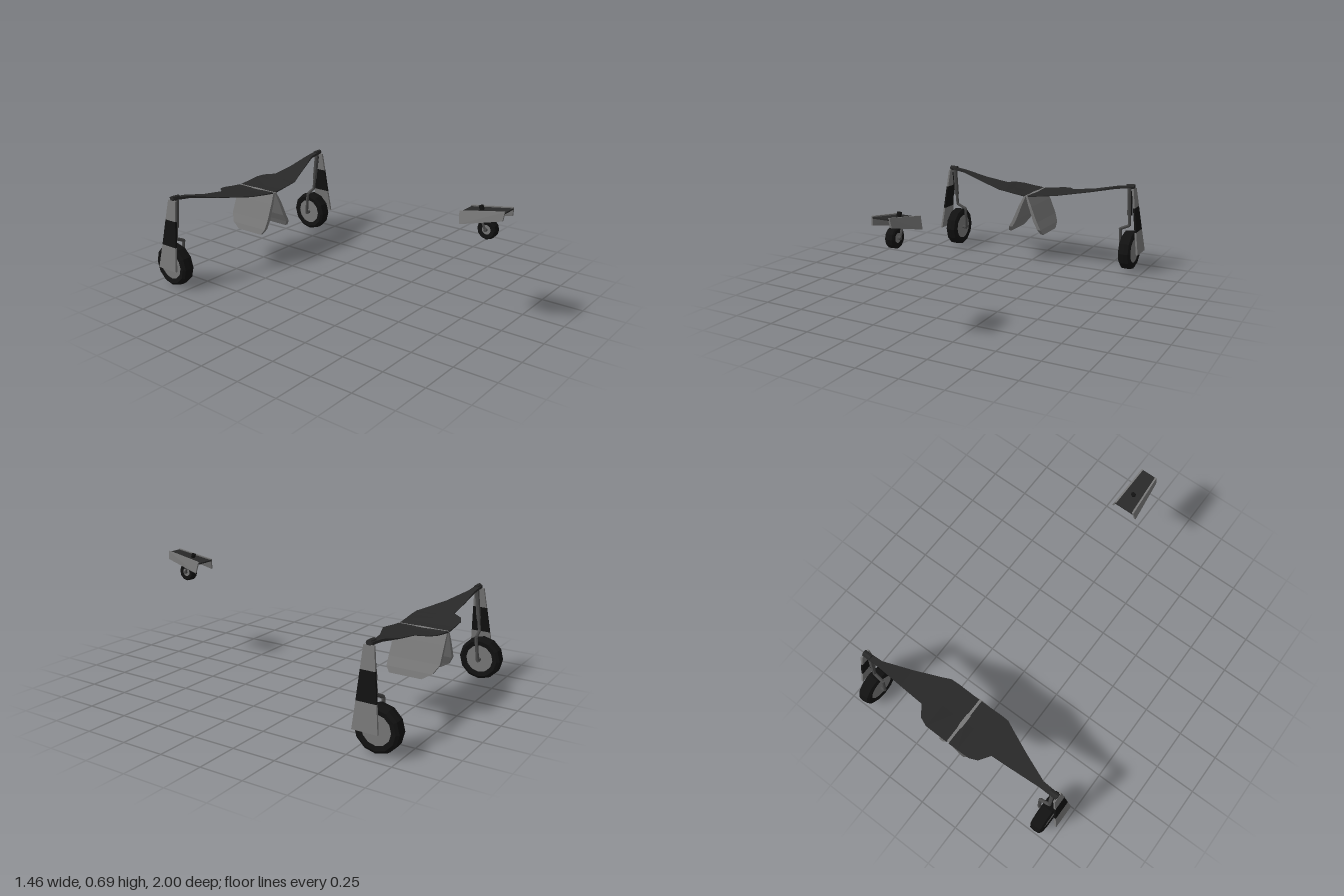
import * as THREE from 'three';

const paint = (color) => new THREE.MeshStandardMaterial({ color, flatShading: true });
const V = (x, y, z) => new THREE.Vector3(x, y, z);

// Closed solid through equal-length rings of [x, y, z]; winding is corrected by signed volume.
function loft(rings) {
  const n = rings[0].length, tris = [];
  const quad = (a, b, c, d) => tris.push([a, b, c], [a, c, d]);
  for (let i = 0; i + 1 < rings.length; i++) {
    for (let j = 0; j < n; j++) {
      const k = (j + 1) % n;
      quad(rings[i][j], rings[i][k], rings[i + 1][k], rings[i + 1][j]);
    }
  }
  // End caps are strips, so a bent ring is closed correctly
  [rings[0], rings[rings.length - 1]].forEach((r, end) => {
    for (let j = 0; j < n / 2 - 1; j++) {
      const q = [r[j], r[j + 1], r[n - 2 - j], r[n - 1 - j]];
      quad(...(end ? q : q.reverse()));
    }
  });
  const volume = tris.reduce((s, [a, b, c]) => s + V(...a).dot(V(...b).cross(V(...c))), 0);
  if (volume < 0) tris.forEach((t) => t.reverse());
  const geo = new THREE.BufferGeometry();
  geo.setAttribute('position', new THREE.Float32BufferAttribute(tris.flat(2), 3));
  geo.computeVertexNormals();
  return geo;
}

// Panel from stations [x, y, zFront, zRear, sag, thickness]; thickness runs along x or y.
function panel(side, alongX, stations) {
  return loft(stations.map(([x, y, zf, zr, sag = 0, t = 0.012]) => {
    const line = [[zf, 0], [(zf + zr) / 2, sag], [zr, 0]];
    const skin = (o) => line.map(([z, s]) => alongX
      ? [side * (x + s + o), y, z]
      : [side * x, y - s + o, z]);
    return [...skin(t / 2), ...skin(-t / 2).reverse()];
  }));
}

// Round bar between two points
function rod(a, b, r, sides = 8) {
  const d = V(...b).sub(V(...a));
  const geo = new THREE.CylinderGeometry(r, r, d.length(), sides);
  geo.applyQuaternion(new THREE.Quaternion().setFromUnitVectors(V(0, 1, 0), d.clone().normalize()));
  return geo.translate(...V(...a).addScaledVector(d, 0.5).toArray());
}

export function createModel() {
  const root = new THREE.Group();
  const grey = paint(0x777777), dark = paint(0x282828), black = paint(0x111111), steel = paint(0x4a4a4a);
  const add = (parent, name, geo, mat) => {
    const m = new THREE.Mesh(geo, mat);
    m.name = name;
    parent.add(m);
    return m;
  };

  // Bevelled tyre with a flat hub disc, axle along x
  function wheel(name, r, w, hubR, x, y, z) {
    const g = new THREE.Group();
    g.name = name;
    const h = w / 2;
    const profile = [[hubR, -h * 0.85], [r * 0.85, -h], [r * 0.97, -h * 0.75], [r, 0],
      [r * 0.97, h * 0.75], [r * 0.85, h], [hubR, h * 0.85]].map((p) => new THREE.Vector2(...p));
    add(g, 'tyre', new THREE.LatheGeometry(profile, 12).rotateZ(-Math.PI / 2), black);
    add(g, 'hub', new THREE.CylinderGeometry(hubR, hubR, w * 0.85, 12).rotateZ(Math.PI / 2), grey);
    g.position.set(x, y, z);
    root.add(g);
  }

  for (const s of [1, -1]) {
    const label = s > 0 ? 'left' : 'right';

    // Swept underside wing panel, sagging near the centre
    add(root, label + 'WingPanel', panel(s, false, [
      [0.008, 0.464, -0.635, -0.93, 0.003, 0.008],
      [0.07, 0.471, -0.635, -0.93, 0.006, 0.006],
      [0.15, 0.482, -0.635, -0.93, 0.003, 0.004],
      [0.2, 0.488, -0.638, -0.91, 0, 0.004],
      [0.245, 0.494, -0.66, -0.848, 0, 0.004],
      [0.4, 0.516, -0.73, -0.842, 0, 0.005],
      [0.56, 0.548, -0.797, -0.835, 0, 0.014],
      [0.67, 0.561, -0.805, -0.838, 0, 0.016],
    ]), dark);

    // Inner bay door, hanging outward with a slight bend
    add(root, label + 'InnerDoor', panel(s, true, [
      [0.006, 0.466, -0.63, -0.925, 0, 0.012],
      [0.035, 0.4, -0.622, -0.926, 0, 0.02],
      [0.075, 0.3, -0.62, -0.925, 0, 0.025],
      [0.102, 0.25, -0.622, -0.895, 0, 0.024],
      [0.116, 0.216, -0.645, -0.84, 0, 0.02],
    ]), grey);

    // Leg door in three bands
    const cuts = [[0.668, 0.55, -0.79, -0.85], [0.684, 0.43, -0.783, -0.867],
      [0.704, 0.275, -0.774, -0.889], [0.724, 0.13, -0.765, -0.91]];
    ['Upper', 'Middle', 'Lower'].forEach((part, i) => {
      add(root, label + 'LegDoor' + part, panel(s, true, cuts.slice(i, i + 2)), i === 1 ? black : grey);
    });

    // Main leg: sleeve, piston, offset crank and axle
    const leg = [[0.638, 0.555, -0.815], [0.638, 0.37, -0.838], [0.638, 0.297, -0.848],
      [0.577, 0.268, -0.853], [0.58, 0.125, -0.87], [0.64, 0.13, -0.87]]
      .map(([x, y, z]) => [s * x, y, z]);
    [['Sleeve', 0.014], ['Piston', 0.01], ['Crank', 0.01], ['Fork', 0.01], ['Axle', 0.012]]
      .forEach(([part, r], i) => add(root, label + 'Leg' + part, rod(leg[i], leg[i + 1], r), steel));
    add(root, label + 'LegPivot', rod([s * 0.62, 0.56, -0.818], [s * 0.672, 0.562, -0.818], 0.016), dark);
    add(root, label + 'LegBrace', rod([s * 0.655, 0.53, -0.818], [s * 0.652, 0.37, -0.84], 0.006), black);
    wheel(label + 'MainWheel', 0.13, 0.08, 0.083, s * 0.64, 0.13, -0.87);

    // Small wheel door, splayed outward and flaring to the rear
    add(root, label + 'SmallDoor', loft([
      [[0.042, 0.69, 1], [0.052, 0.69, 1], [0.06, 0.64, 0.995], [0.05, 0.64, 0.995]],
      [[0.055, 0.648, 0.745], [0.066, 0.648, 0.745], [0.083, 0.58, 0.755], [0.073, 0.58, 0.755]],
    ].map((r) => r.map(([x, y, z]) => [s * x, y, z]))), grey);

    // Small wheel fork arm
    add(root, label + 'ForkArm', rod([s * 0.032, 0.555, 0.885], [s * 0.03, 0.64, 0.85], 0.007, 6), steel);
  }

  // Small wheel bay cover, yoke, stem and wheel
  add(root, 'smallBayCover', loft([[0.047, 0.684, 1], [0.062, 0.641, 0.745]].map(([x, y, z]) =>
    [[-x, y, z], [x, y, z], [x, y - 0.008, z], [-x, y - 0.008, z]])), dark);
  add(root, 'forkYoke', rod([-0.036, 0.638, 0.851], [0.036, 0.638, 0.851], 0.009, 6), steel);
  add(root, 'forkStem', rod([0, 0.635, 0.853], [0, 0.68, 0.835], 0.013), black);
  add(root, 'smallAxle', rod([-0.038, 0.56, 0.885], [0.038, 0.56, 0.885], 0.009), steel);
  wheel('smallWheel', 0.056, 0.05, 0.026, 0, 0.56, 0.885);

  return root;
}
